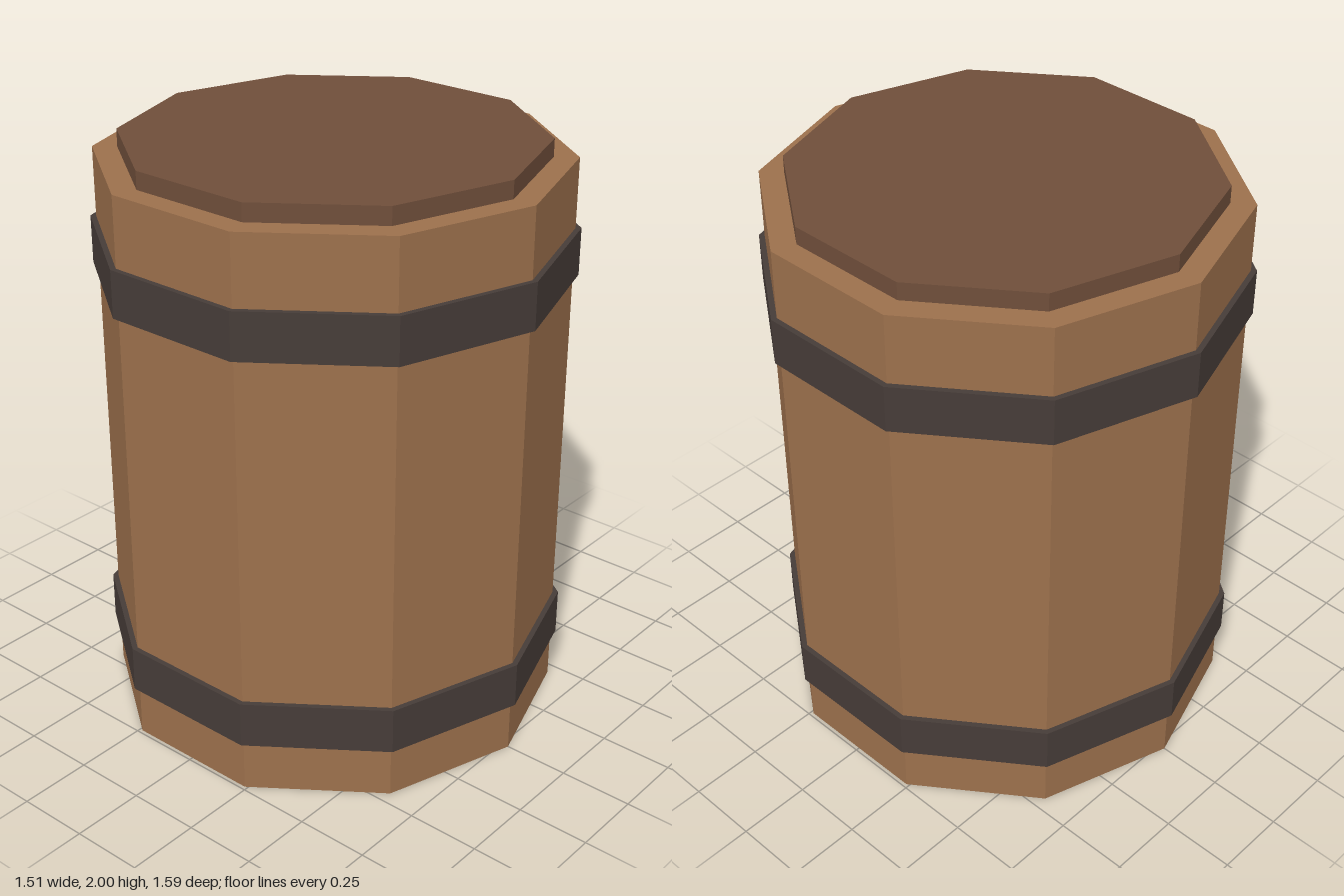
import * as THREE from 'three';

const SIDES = 10;

export function createModel() {
  const barrel = new THREE.Group();
  barrel.name = 'barrel';

  const material = (color) => new THREE.MeshStandardMaterial({ color, flatShading: true });
  const wood = material(0x9c704c);
  const darkWood = material(0x6f4e3a);
  const iron = material(0x463c38);

  // Ten-sided prism with a corner facing the front
  const addPrism = (name, radius, bottom, top, mat) => {
    const geometry = new THREE.CylinderGeometry(radius, radius, top - bottom, SIDES);
    const mesh = new THREE.Mesh(geometry, mat);
    mesh.name = name;
    mesh.position.y = (bottom + top) / 2;
    barrel.add(mesh);
  };

  // Staved body and raised lid
  addPrism('body', 0.775, 0, 1.94, wood);
  addPrism('lid', 0.693, 1.9, 2, darkWood);

  // Iron hoops
  addPrism('lowerHoop', 0.794, 0.18, 0.34, iron);
  addPrism('upperHoop', 0.794, 1.545, 1.705, iron);

  return barrel;
}
